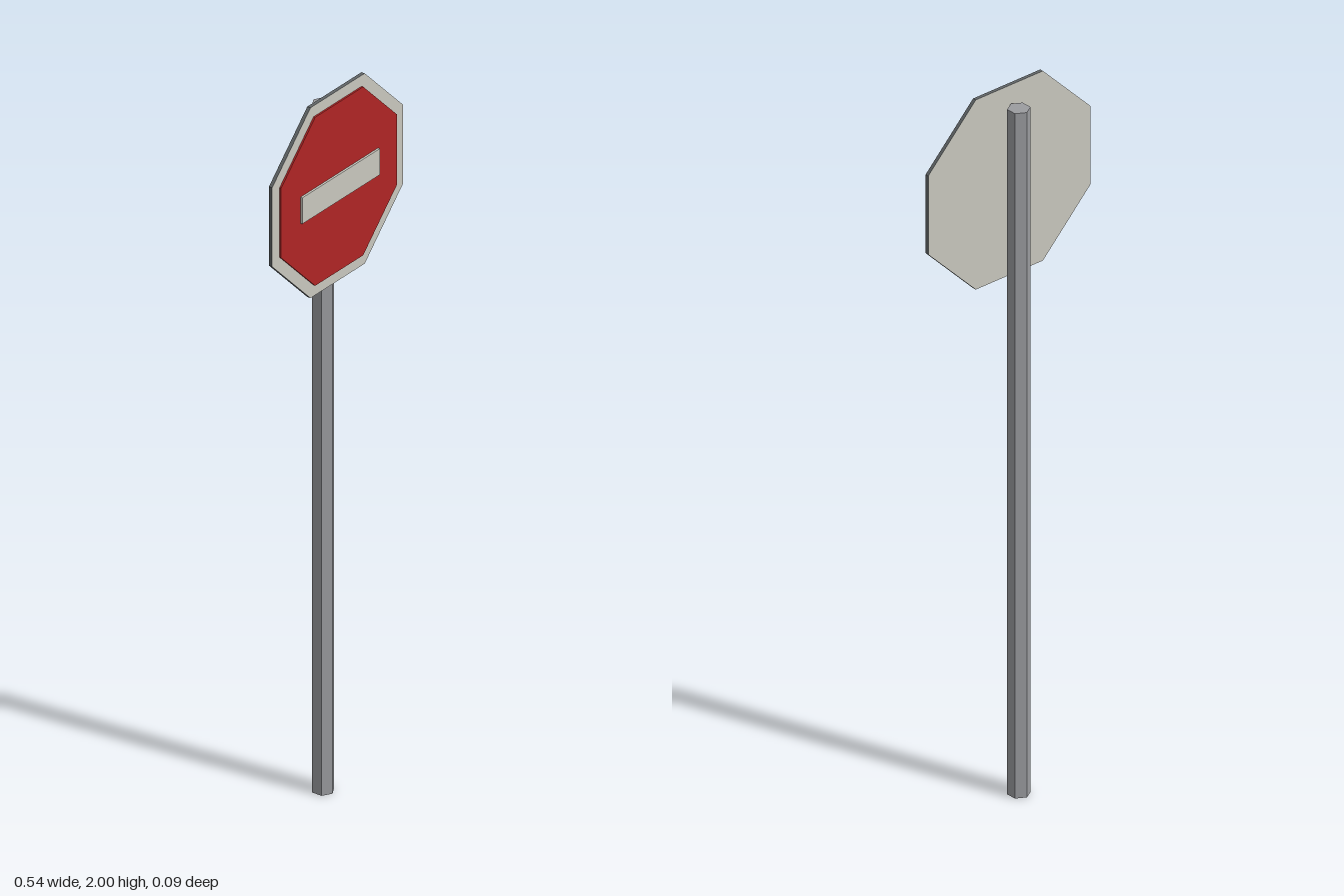
import * as THREE from 'three';

const material = (name, color) => {
  const m = new THREE.MeshStandardMaterial({ color });
  m.name = name;
  return m;
};

// Regular octagon with flat top, given half its width
function octagon(half) {
  const r = half / Math.cos(Math.PI / 8);
  const points = [];
  for (let i = 0; i < 8; i++) {
    const a = Math.PI / 8 + (i * Math.PI) / 4;
    points.push(new THREE.Vector2(r * Math.cos(a), r * Math.sin(a)));
  }
  return new THREE.Shape(points);
}

export function createModel() {
  const poleGrey = material('pole grey', 0x9b9ca0);
  const paleGrey = material('pale grey', 0xc8c7be);
  const edgeGrey = material('dark edge grey', 0x606567);
  const red = material('sign red', 0xb02424);

  const sign = new THREE.Group();
  sign.name = 'roadSign';
  const centreY = 1.73;

  const add = (name, geometry, mat, y, z) => {
    const mesh = new THREE.Mesh(geometry, mat);
    mesh.name = name;
    mesh.position.set(0, y, z);
    sign.add(mesh);
  };
  const plate = (half, depth) =>
    new THREE.ExtrudeGeometry(octagon(half), { depth, bevelEnabled: false });

  // Six-sided post
  const post = new THREE.CylinderGeometry(0.03, 0.03, 1.95, 6).toNonIndexed();
  post.computeVertexNormals();
  add('post', post, poleGrey, 0.975, -0.0145);

  // Backing board with dark rim, red face and pale bar
  add('board', plate(0.27, 0.01), [paleGrey, edgeGrey], centreY, 0.021);
  add('redFace', plate(0.239, 0.005), red, centreY, 0.031);
  add('bar', new THREE.BoxGeometry(0.32, 0.074, 0.006), paleGrey, centreY + 0.002, 0.039);

  return sign;
}
